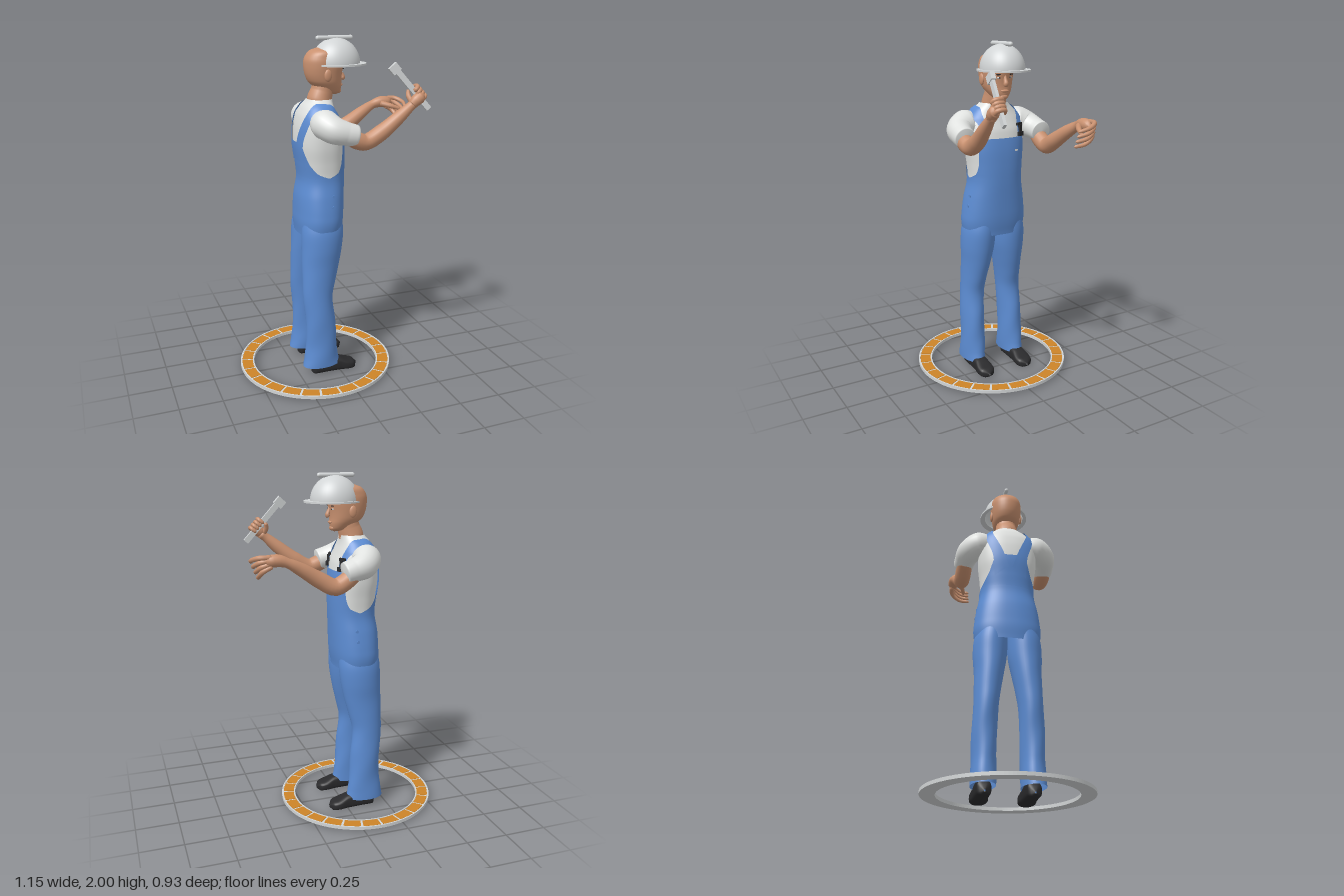
import * as THREE from 'three';
import { mergeVertices } from 'three/addons/utils/BufferGeometryUtils.js';

const mat = (name, color, side = THREE.FrontSide) =>
  Object.assign(new THREE.MeshStandardMaterial({ color, side }), { name });
const M = {
  denim: mat('denim blue', 0x5c8cd2, THREE.DoubleSide),
  shirt: mat('shirt white', 0xe0e2e0),
  skin: mat('skin', 0xc99170),
  grey: mat('light grey', 0xd2d5d6, THREE.DoubleSide),
  orange: mat('orange', 0xcc8428),
  black: mat('black', 0x2a2a2c),
};
const V = (x, y, z) => new THREE.Vector3(x, y, z);
const RAD = Math.PI / 180;

// Smooth lookup of a row in a table sorted by its first column
function row(table, y) {
  let i = 0;
  while (i < table.length - 2 && y > table[i + 1][0]) i++;
  const at = (k) => table[Math.min(Math.max(k, 0), table.length - 1)];
  const [a, b, c, d] = [at(i - 1), at(i), at(i + 1), at(i + 2)];
  const f = THREE.MathUtils.clamp((y - b[0]) / (c[0] - b[0]), 0, 1);
  return b.map((_, k) => b[k] + 0.5 * f * (c[k] - a[k] + f * (2 * a[k] - 5 * b[k] + 4 * c[k] - d[k]
    + f * (3 * (b[k] - c[k]) + d[k] - a[k]))));
}

// Surface from a rule fn(u, v) -> point, welded so it shades smoothly
function surface(fn, nu, nv) {
  const pos = [], idx = [];
  for (let j = 0; j <= nv; j++) for (let i = 0; i <= nu; i++) pos.push(...fn(i / nu, j / nv).toArray());
  for (let j = 0; j < nv; j++) for (let i = 0; i < nu; i++) {
    const a = j * (nu + 1) + i, c = a + nu + 1;
    idx.push(a, c, a + 1, a + 1, c, c + 1);
  }
  const g = new THREE.BufferGeometry();
  g.setAttribute('position', new THREE.Float32BufferAttribute(pos, 3));
  g.setIndex(idx);
  return weld(g);
}
function weld(g) {
  g.deleteAttribute('uv');
  g.deleteAttribute('normal');
  const w = mergeVertices(g, 1e-5);
  w.computeVertexNormals();
  return w;
}

// Round limb through [x, y, z, radius] stations
function limb(stations, seg = 32, sides = 18) {
  const curve = new THREE.CatmullRomCurve3(stations.map((s) => V(s[0], s[1], s[2])));
  const g = new THREE.TubeGeometry(curve, seg, 1, sides);
  const p = g.attributes.position, v = V(0, 0, 0);
  for (let j = 0; j <= seg; j++) {
    const c = curve.getPointAt(j / seg), t = curve.getUtoTmapping(j / seg) * (stations.length - 1);
    const k = Math.min(Math.floor(t), stations.length - 2);
    let r = THREE.MathUtils.lerp(stations[k][3], stations[k + 1][3], t - k);
    if (j === 0 || j === seg) r = 0.0005;
    for (let i = 0; i <= sides; i++) {
      const n = j * (sides + 1) + i;
      v.fromBufferAttribute(p, n).sub(c).multiplyScalar(r).add(c);
      p.setXYZ(n, v.x, v.y, v.z);
    }
  }
  return weld(g);
}

// Torso cross-sections: y, centre x, half depth, half width
const TORSO = [[0.88, -0.09, 0.12, 0.18], [0.95, -0.088, 0.128, 0.19], [1.0, -0.085, 0.13, 0.188], [1.1, -0.08, 0.13, 0.175],
  [1.2, -0.07, 0.125, 0.157], [1.3, -0.073, 0.13, 0.162], [1.4, -0.08, 0.134, 0.174], [1.5, -0.085, 0.125, 0.175],
  [1.57, -0.09, 0.105, 0.16], [1.62, -0.085, 0.085, 0.12], [1.655, -0.072, 0.07, 0.08]];
const pow = (c, e) => Math.sign(c) * Math.abs(c) ** e;
function torso(theta, y, off = 0) {
  const [, xc, rx, rz] = row(TORSO, y);
  return V(xc + (rx + off) * pow(Math.cos(theta), 0.85), y, (rz + off) * pow(Math.sin(theta), 0.85));
}
// Trouser leg: y, centre x, half depth, centre z, half width
const LEG = [[0.06, -0.115, 0.116, 0.136, 0.068], [0.1, -0.115, 0.106, 0.135, 0.069], [0.2, -0.112, 0.094, 0.133, 0.068],
  [0.35, -0.118, 0.09, 0.132, 0.069], [0.5, -0.13, 0.089, 0.125, 0.069], [0.6, -0.12, 0.1, 0.117, 0.075],
  [0.7, -0.107, 0.112, 0.108, 0.084], [0.8, -0.096, 0.12, 0.102, 0.096], [0.9, -0.09, 0.124, 0.097, 0.097], [1.0, -0.087, 0.115, 0.085, 0.085]];
// Head: y, back x, front x, half width
const HEAD = [[1.675, 0, 0.035, 0.005], [1.685, -0.05, 0.05, 0.04], [1.72, -0.1, 0.058, 0.066], [1.75, -0.135, 0.057, 0.081],
  [1.79, -0.153, 0.06, 0.089], [1.84, -0.16, 0.068, 0.094], [1.88, -0.155, 0.066, 0.092], [1.92, -0.125, 0.05, 0.078], [1.945, -0.06, 0, 0.01]];
// Shoe: x, half width, top
const SHOE = [[-0.18, 0.004, 0.03], [-0.165, 0.036, 0.075], [-0.1, 0.042, 0.1], [0, 0.045, 0.085],
  [0.05, 0.052, 0.064], [0.09, 0.042, 0.052], [0.112, 0.004, 0.03]];
// Strap edges: angle round the torso, height
const INNER = [[28, 1.45], [30, 1.53], [50, 1.61], [90, 1.637], [130, 1.625], [152, 1.55], [168, 1.45], [178, 1.34]];
const OUTER = [[43, 1.45], [46, 1.52], [65, 1.57], [90, 1.6], [118, 1.585], [138, 1.5], [150, 1.4], [150, 1.28]];

// Flat ring sector lying on the ground plane
function sector(r0, r1, a0, a1, y, h) {
  const s = new THREE.Shape();
  s.absarc(0, 0, r1, a0, a1, false);
  s.absarc(0, 0, r0, a1, a0, true);
  return new THREE.ExtrudeGeometry(s, { depth: h, bevelEnabled: false, curveSegments: a1 - a0 > 1 ? 72 : 6 })
    .rotateX(-Math.PI / 2).translate(-0.107, y, 0);
}

export function createModel() {
  const model = new THREE.Group();
  const add = (name, geo, m, x = 0, y = 0, z = 0, parent = model) => {
    const mesh = new THREE.Mesh(geo, m);
    mesh.name = name;
    mesh.position.set(x, y, z);
    parent.add(mesh);
    return mesh;
  };
  const ball = (name, m, x, y, z, sx, sy, sz) => add(name, new THREE.SphereGeometry(1, 20, 14), m, x, y, z).scale.set(sx, sy, sz);

  // Ground ring: grey base and rims, orange tiles
  add('ringBase', sector(0.382, 0.465, 0, Math.PI * 2, 0.015, 0.015), M.grey);
  add('ringOuterRim', sector(0.457, 0.465, 0, Math.PI * 2, 0.03, 0.004), M.grey);
  add('ringInnerRim', sector(0.382, 0.389, 0, Math.PI * 2, 0.03, 0.004), M.grey);
  for (let i = 0; i < 24; i++)
    add('ringTile', sector(0.391, 0.454, (i * 15 + 0.9) * RAD, (i * 15 + 14.1) * RAD, 0.03, 0.003), M.orange);

  // Shirt body, seat of the overalls, bib and back panel
  add('shirtBody', surface((u, v) => torso(u * 2 * Math.PI, 1.15 + v * 0.505), 64, 40), M.shirt);
  add('overallsWaist', surface((u, v) => torso(u * 2 * Math.PI, 0.88 + v * 0.345, 0.006), 64, 24), M.denim);
  const panel = (name, mid, edge, y0, y1) => add(name, surface((u, v) => {
    const y = y0 + (y1 - y0) * v;
    return torso((mid + (2 * u - 1) * row(edge, y)[1]) * RAD, y, 0.006);
  }, 32, 24), M.denim);
  panel('bib', 0, [[1.22, 92], [1.25, 68], [1.3, 57], [1.38, 52], [1.46, 50]], 1.22, 1.46);
  panel('backPanel', 180, [[1.22, 92], [1.25, 66], [1.3, 46], [1.36, 34], [1.42, 26]], 1.22, 1.42);
  add('bibLabel', new THREE.BoxGeometry(0.004, 0.01, 0.02), M.grey, torso(-0.4, 1.385, 0.007).x, 1.385, -0.08);

  const edge = (list) => new THREE.CatmullRomCurve3(list.map(([a, y]) => V(a * RAD, y, 0)));
  const inner = edge(INNER), outer = edge(OUTER);
  for (const s of [1, -1]) {
    // Straps with buckles, hip buttons
    add('strap', surface((u, v) => {
      const p = outer.getPoint(u).lerp(inner.getPoint(u), v);
      return torso(s * p.x, p.y, 0.009);
    }, 56, 4), M.denim);
    for (const [y, w, h] of [[1.475, 0.045, 0.025], [1.505, 0.022, 0.04], [1.53, 0.045, 0.016]]) {
      const p = torso(s * 36 * RAD, y, 0.013);
      add('buckle', new THREE.BoxGeometry(0.012, h, w), M.black, p.x, y, p.z).rotation.y = -s * 0.45;
    }
    for (const y of [1.06, 1.12]) {
      const p = torso(s * 80 * RAD, y, 0.006);
      add('hipButton', new THREE.CylinderGeometry(0.009, 0.009, 0.006, 12).rotateX(Math.PI / 2), M.denim, p.x, y, p.z);
    }
    // Trouser legs with soft folds near the hem, and shoes
    add('trouserLeg', surface((u, v) => {
      const y = 0.06 + v * 0.94, a = u * 2 * Math.PI, [, xc, rx, zc, rz] = row(LEG, y);
      const fold = 1 + 0.025 * Math.sin(3 * a + y * 22) * Math.max(0, 1 - y / 0.75);
      return V(xc + rx * fold * Math.cos(a), y, s * zc + rz * fold * Math.sin(a));
    }, 40, 48), M.denim);
    add('shoe', surface((u, v) => {
      const a = u * 2 * Math.PI, x = -0.18 + v * 0.292, [, w, top] = row(SHOE, x);
      const low = 0.022 - 0.02 * Math.min(1, w / 0.03);
      return V(x, low + (top - low) * (0.5 + 0.5 * pow(Math.sin(a), 0.6)), s * 0.134 + w * pow(Math.cos(a), 0.7));
    }, 28, 32), M.black);
    // Short sleeves
    add('sleeve', limb([[-0.1, 1.53, s * 0.1, 0.06], [-0.1, 1.535, s * 0.17, 0.083], [-0.065, 1.51, s * 0.225, 0.076],
      [0, 1.49, s * 0.245, 0.065], [0.052, 1.477, s * 0.25, 0.061], [0.06, 1.475, s * 0.25, 0.05]], 44, 24), M.shirt);
    // Ears, eyes and brows
    ball('ear', M.skin, -0.05, 1.79, s * 0.09, 0.022, 0.034, 0.011);
    ball('eye', M.grey, 0.049, 1.802, s * 0.034, 0.008, 0.006, 0.013);
    ball('pupil', M.black, 0.054, 1.802, s * 0.033, 0.005, 0.005, 0.005);
    ball('brow', M.black, 0.054, 1.82, s * 0.036, 0.007, 0.004, 0.02);
  }

  // Neck, head and face
  add('neck', limb([[-0.075, 1.6, 0, 0.07], [-0.07, 1.65, 0, 0.072], [-0.055, 1.7, 0, 0.064], [-0.045, 1.76, 0, 0.06]]), M.skin);
  add('head', surface((u, v) => {
    const y = 1.675 + v * 0.27, a = u * 2 * Math.PI, [, b, f, w] = row(HEAD, y);
    return V((b + f) / 2 + (f - b) / 2 * pow(Math.cos(a), 0.9), y, w * Math.sin(a));
  }, 40, 36), M.skin);
  add('nose', limb([[0.056, 1.815, 0, 0.007], [0.063, 1.79, 0, 0.011], [0.07, 1.768, 0, 0.015], [0.062, 1.757, 0, 0.012]], 16, 12), M.skin);
  ball('lips', M.skin, 0.055, 1.728, 0, 0.012, 0.008, 0.026);
  ball('chin', M.skin, 0.043, 1.695, 0, 0.016, 0.016, 0.026);

  // Hard hat: dome, brim and ridge
  add('helmetDome', new THREE.SphereGeometry(1, 40, 16, 0, Math.PI * 2, 0, Math.PI / 2), M.grey, 0.028, 1.845, 0)
    .scale.set(0.14, 0.142, 0.126);
  const brim = new THREE.Shape().absellipse(0.042, 0, 0.163, 0.148, 0, Math.PI * 2);
  brim.holes.push(new THREE.Path().absellipse(0.028, 0, 0.135, 0.121, 0, Math.PI * 2, true));
  add('helmetBrim', new THREE.ExtrudeGeometry(brim, { depth: 0.01, bevelEnabled: false, curveSegments: 40 })
    .rotateX(-Math.PI / 2), M.grey, 0, 1.838, 0);
  add('helmetRidge', new THREE.CapsuleGeometry(0.013, 0.195, 6, 14).rotateZ(Math.PI / 2), M.grey, 0.02, 1.987, 0);

  // Arms
  add('leftArm', limb([[-0.02, 1.49, 0.248, 0.045], [0.06, 1.45, 0.25, 0.049], [0.11, 1.438, 0.25, 0.046], [0.2, 1.485, 0.253, 0.046],
    [0.3, 1.565, 0.264, 0.037], [0.37, 1.625, 0.27, 0.026], [0.41, 1.655, 0.27, 0.028]]), M.skin);
  add('rightArm', limb([[-0.02, 1.485, -0.248, 0.045], [0.06, 1.425, -0.25, 0.049], [0.11, 1.405, -0.253, 0.048], [0.2, 1.45, -0.25, 0.046],
    [0.3, 1.512, -0.262, 0.037], [0.38, 1.555, -0.275, 0.026], [0.43, 1.57, -0.272, 0.034], [0.48, 1.568, -0.27, 0.033], [0.51, 1.56, -0.265, 0.015]]), M.skin);

  // Open right hand with curled fingers
  for (let i = 0; i < 4; i++)
    add('rightFinger', limb([[0.46, 1.588 - 0.014 * i, -0.282, 0.014], [0.53 - 0.006 * i, 1.588 - 0.024 * i, -0.272, 0.014],
      [0.562 - 0.012 * i, 1.57 - 0.03 * i, -0.222, 0.012], [0.548 - 0.012 * i, 1.55 - 0.028 * i, -0.155, 0.009]], 18, 10), M.skin);
  add('rightThumb', limb([[0.42, 1.565, -0.25, 0.018], [0.48, 1.55, -0.21, 0.015], [0.535, 1.53, -0.19, 0.009]], 16, 10), M.skin);

  // Hammer and the fist that grips it
  const top = V(0.3, 1.82, 0.222), end = V(0.49, 1.6, 0.258), dir = end.clone().sub(top).normalize();
  const n = V(0.757, 0.654, 0), side = n.clone().cross(dir).normalize();
  const hammer = new THREE.Group();
  hammer.name = 'hammer';
  hammer.quaternion.setFromRotationMatrix(new THREE.Matrix4().makeBasis(n, dir.clone().negate(), side.clone().negate()));
  hammer.position.copy(top);
  add('hammerHandle', new THREE.BoxGeometry(0.032, 0.29, 0.018), M.grey, 0, -0.145, 0, hammer);
  add('hammerHead', new THREE.BoxGeometry(0.055, 0.048, 0.028), M.grey, -0.004, 0.012, 0, hammer);
  model.add(hammer);
  add('leftPalm', limb([[0.375, 1.63, 0.272, 0.024], [0.4, 1.655, 0.274, 0.033], [0.425, 1.672, 0.272, 0.034], [0.445, 1.68, 0.268, 0.018]], 20, 14), M.skin);
  for (let i = 0; i < 4; i++) {
    const c = top.clone().lerp(end, 0.49 + 0.075 * i);
    const at = (k, z, r) => [c.x + n.x * k, c.y + n.y * k, c.z + z, r];
    add('leftFinger', limb([at(-0.01, 0.035, 0.013), at(0.024, 0.026, 0.013), at(0.028, -0.012, 0.012), at(-0.008, -0.024, 0.01)], 16, 10), M.skin);
  }
  add('leftThumb', limb([[0.38, 1.645, 0.265, 0.016], [0.368, 1.68, 0.24, 0.014], [0.375, 1.712, 0.222, 0.009]], 16, 10), M.skin);
  return model;
}
